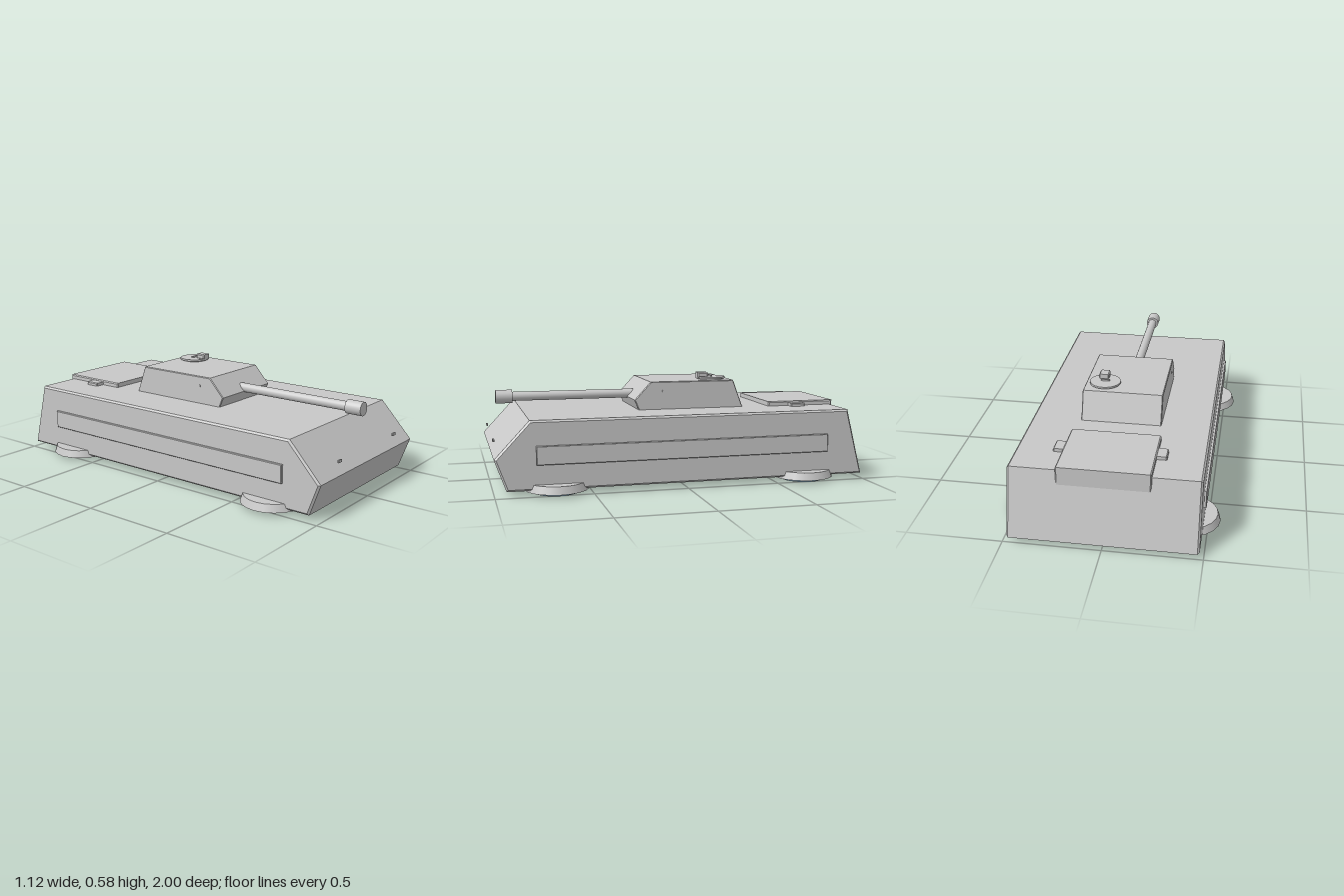
import * as THREE from 'three';

export function createModel() {
  const model = new THREE.Group();
  const mat = (name, color) => {
    const m = new THREE.MeshStandardMaterial({ color });
    m.name = name;
    return m;
  };
  const armour = mat('armour grey', 0xc8c8c8);
  const glow = mat('hover blue', 0xa8d2ee);

  const add = (name, geometry, material, x = 0, y = 0, z = 0, parent = model) => {
    const mesh = new THREE.Mesh(geometry, material);
    mesh.name = name;
    mesh.position.set(x, y, z);
    parent.add(mesh);
    return mesh;
  };

  // Side profile of [z, y] points, extruded across x with a small chamfer
  const slab = (points, halfWidth, bevel) => {
    const shape = new THREE.Shape(points.map(([z, y]) => new THREE.Vector2(z, y)));
    const depth = 2 * (halfWidth - bevel);
    const g = new THREE.ExtrudeGeometry(shape, {
      depth, bevelEnabled: true, bevelThickness: bevel, bevelSize: bevel,
      bevelOffset: -bevel, bevelSegments: 1,
    });
    g.translate(0, 0, -depth / 2);
    g.rotateY(-Math.PI / 2);
    return g;
  };
  // Box given by its limits, placed in model space
  const block = (name, [x0, x1], [y0, y1], [z0, z1], bevel = 0.003) => {
    const g = slab([[z0, y0], [z1, y0], [z1, y1], [z0, y1]], (x1 - x0) / 2, bevel);
    return add(name, g, armour, (x0 + x1) / 2);
  };

  // Hull and turret
  add('hull', slab([[-1, 0.028], [0.94, 0.028], [1, 0.193], [0.82, 0.386], [-0.91, 0.386]], 0.48, 0.01), armour);
  add('turret', slab([[-0.395, 0.38], [0.2, 0.38], [0.225, 0.44], [0.135, 0.537], [-0.337, 0.537]], 0.215, 0.004), armour);

  // Gun
  const rod = (r, length, sides = 24) => new THREE.CylinderGeometry(r, r, length, sides).rotateX(Math.PI / 2);
  add('barrel', rod(0.025, 0.7), armour, 0, 0.456, 0.53);
  add('muzzle', rod(0.037, 0.09), armour, 0, 0.456, 0.91);

  // Turret hatch with its sight and handle
  add('hatchCollar', new THREE.CylinderGeometry(0.07, 0.07, 0.01, 24), armour, 0.11, 0.539, -0.235);
  add('turretHatch', new THREE.CylinderGeometry(0.083, 0.083, 0.01, 24), armour, 0.11, 0.547, -0.235);
  block('sight', [0.095, 0.15], [0.548, 0.577], [-0.21, -0.152], 0.006);
  block('hatchHandle', [0.085, 0.135], [0.55, 0.56], [-0.239, -0.229], 0.002);

  // Rear engine cover
  block('engineCover', [-0.235, 0.235], [0.3, 0.411], [-0.928, -0.54], 0.006);

  for (const s of [-1, 1]) {
    const span = (a, b) => (s > 0 ? [a, b] : [-b, -a]);
    block('sideRail', span(0.465, 0.493), [0.16, 0.257], [-0.79, 0.79]);
    block('coverHinge', span(0.225, 0.287), [0.38, 0.404], [-0.74, -0.658], 0.005);
    block('headlight', span(0.267, 0.3), [0.256, 0.27], [0.984, 0.993], 0.002);
    add('turretStud', new THREE.CylinderGeometry(0.007, 0.007, 0.01, 10).rotateZ(Math.PI / 2),
      armour, s * 0.214, 0.485, 0.065);

    // Hover pads
    for (const z of [-0.68, 0.68]) {
      const pad = new THREE.Group();
      pad.name = 'hoverPad';
      pad.position.set(s * 0.396, 0, z);
      model.add(pad);
      add('skirt', new THREE.CylinderGeometry(0.152, 0.166, 0.04, 20), armour, 0, 0.038, 0, pad);
      add('hoverRing', new THREE.TorusGeometry(0.109, 0.016, 10, 32).rotateX(Math.PI / 2),
        glow, 0, 0.016, 0, pad);
      add('hoverVent', new THREE.CylinderGeometry(0.1, 0.1, 0.012, 24), glow, 0, 0.015, 0, pad);
    }
  }
  return model;
}
